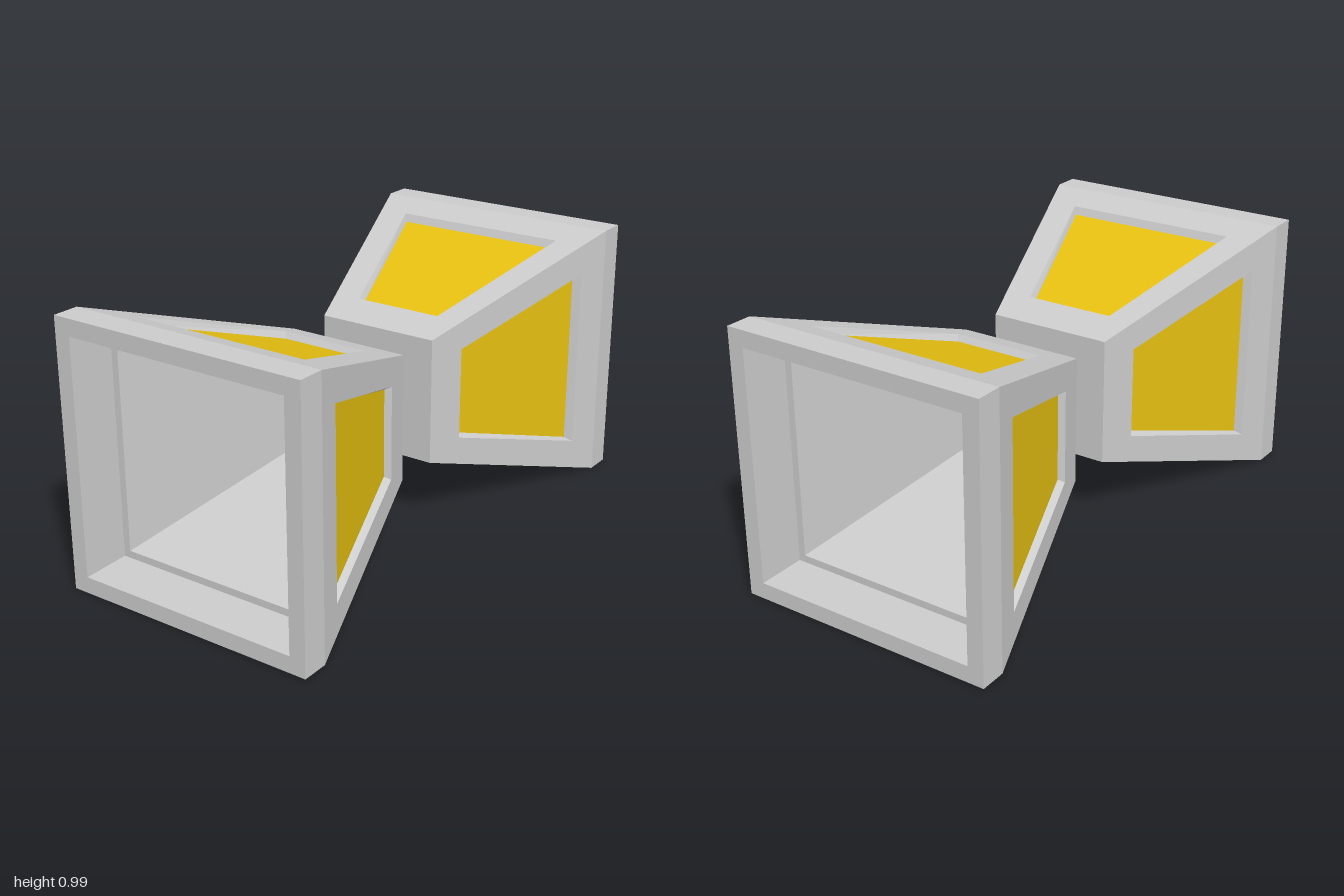
import * as THREE from 'three';

const HALF = 0.493, SMALL = 0.237;   // half sizes of the wide and narrow ends
const Z_END = 0.09, Z_RIM = 0.9;     // where the sloped outer walls begin and end
const slopeAt = z => SMALL + (HALF - SMALL) * (z - Z_END) / (Z_RIM - Z_END);

const grey = new THREE.MeshStandardMaterial({ color: 0xcccccc, flatShading: true });
const yellow = new THREE.MeshStandardMaterial({ color: 0xe6c010, flatShading: true });

// Joins successive four-cornered rings; optionally closes the last one.
function loft(rings, cap = false) {
  const pos = [];
  const quad = (a, b, c, d) => pos.push(...a, ...b, ...c, ...a, ...c, ...d);
  for (let r = 0; r + 1 < rings.length; r++) {
    const A = rings[r], B = rings[r + 1];
    for (let i = 0; i < 4; i++) {
      const j = (i + 1) % 4;
      quad(A[i], A[j], B[j], B[i]);
    }
  }
  if (cap) quad(...rings[rings.length - 1]);
  const g = new THREE.BufferGeometry();
  g.setAttribute('position', new THREE.Float32BufferAttribute(pos, 3));
  g.computeVertexNormals();
  return g;
}

// Square ring across the z axis
const square = (z, h) => [[-h, -h, z], [h, -h, z], [h, h, z], [-h, h, z]];

// Trapezoid lying on the upper sloped wall, sunk by depth
const trapezoid = (z0, w0, z1, w1, depth = 0) => [
  [-w1, slopeAt(z1) - depth, z1], [w1, slopeAt(z1) - depth, z1],
  [w0, slopeAt(z0) - depth, z0], [-w0, slopeAt(z0) - depth, z0],
];

function add(parent, name, geometry, material) {
  const mesh = new THREE.Mesh(geometry, material);
  mesh.name = name;
  parent.add(mesh);
  return mesh;
}

// One hollow flared housing with its mouth towards +z
function createHousing(name) {
  const housing = new THREE.Group();
  housing.name = name;

  // Straight rim, stepped mouth and tapering cavity
  add(housing, 'rimAndCavity', loft([
    square(Z_RIM, HALF), square(1, HALF), square(1, 0.432), square(0.83, 0.42),
    square(0.83, 0.393), square(0.75, 0.369), square(0.14, 0.185),
  ], true), grey);

  // Closed narrow end
  const end = add(housing, 'narrowEnd', new THREE.PlaneGeometry(2 * SMALL, 2 * SMALL), grey);
  end.rotation.y = Math.PI;
  end.position.z = Z_END;

  // Four sloped walls, each with a sunken coloured panel
  const floor = trapezoid(0.236, 0.162, 0.772, 0.328, 0.026);
  const wallGeometry = loft([
    trapezoid(Z_END, SMALL, Z_RIM, HALF), trapezoid(0.222, 0.173, 0.784, 0.342), floor,
  ]);
  const panelGeometry = loft([floor], true);
  for (let i = 0; i < 4; i++) {
    const side = new THREE.Group();
    side.name = 'side' + (i + 1);
    side.rotation.z = i * Math.PI / 2;
    add(side, 'slopedWall', wallGeometry, grey);
    add(side, 'insetPanel', panelGeometry, yellow);
    housing.add(side);
  }
  housing.position.y = HALF;
  return housing;
}

export function createModel() {
  const model = new THREE.Group();
  model.name = 'flaredHousings';
  const back = createHousing('backHousing');
  back.rotation.y = Math.PI;
  model.add(createHousing('frontHousing'), back);
  return model;
}
